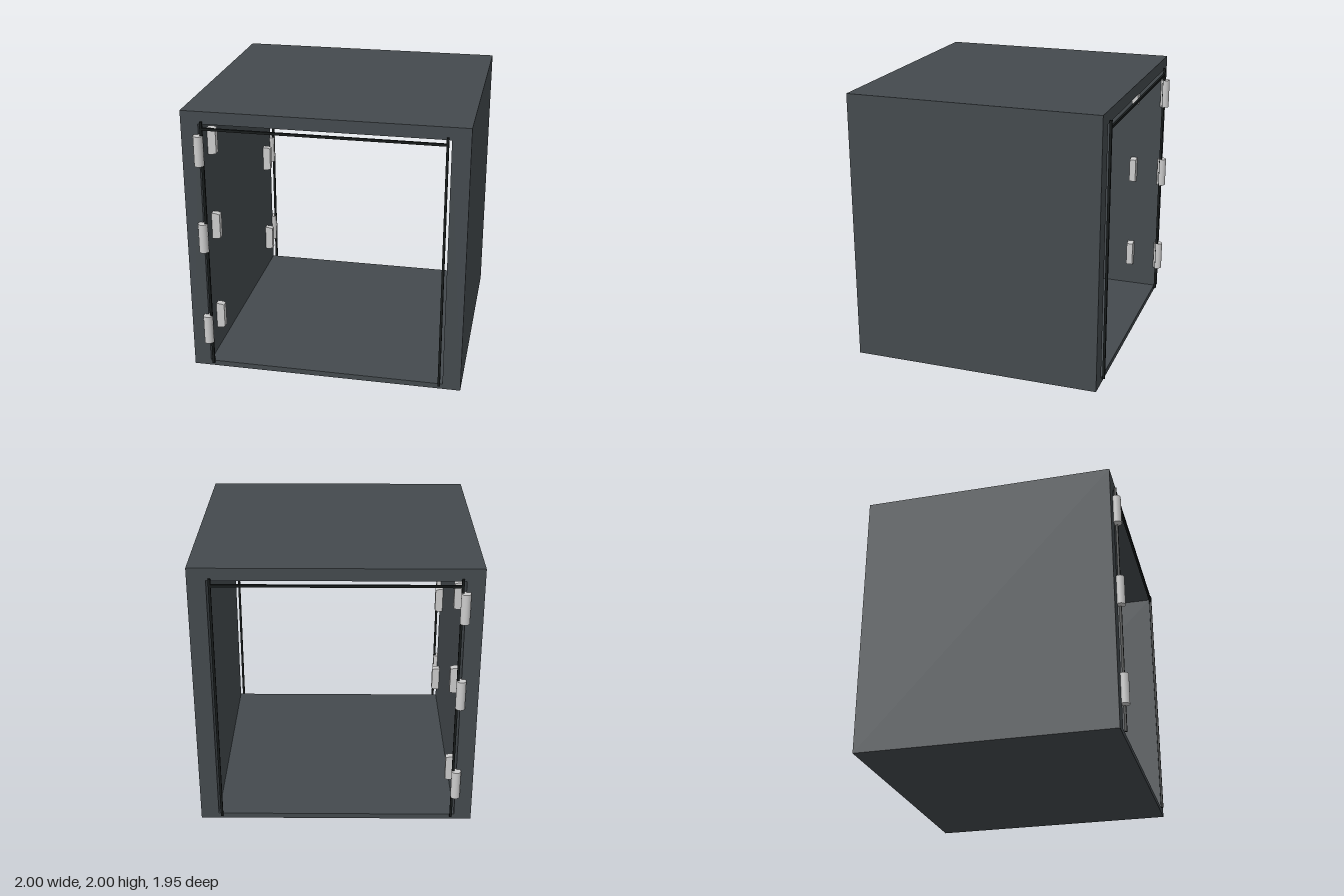
import * as THREE from 'three';

export function createModel() {
  const group = new THREE.Group();
  group.name = 'openCabinet';
  const shellMat = new THREE.MeshStandardMaterial({ color: 0x444a4e });
  const sealMat = new THREE.MeshStandardMaterial({ color: 0x161a1a });
  const metalMat = new THREE.MeshStandardMaterial({ color: 0xcccccc });

  const add = (name, geometry, material, x, y, z) => {
    const mesh = new THREE.Mesh(geometry, material);
    mesh.name = name;
    mesh.position.set(x, y, z);
    group.add(mesh);
  };

  // Tunnel-shaped shell, open at front and back
  const outline = new THREE.Shape([[-1, 0], [1, 0], [1, 2], [-1, 2]].map(p => new THREE.Vector2(...p)));
  outline.holes.push(new THREE.Path(
    [[-0.875, 0.04], [-0.875, 1.91], [0.87, 1.91], [0.87, 0.04]].map(p => new THREE.Vector2(...p))));
  const shell = new THREE.ExtrudeGeometry(outline, { depth: 1.84, bevelEnabled: false });
  add('shell', shell, shellMat, 0, 0, -0.92);

  // Hinge block with its inner corners chamfered
  const blockShape = new THREE.Shape(
    [[0, -0.1], [0.035, -0.1], [0.062, -0.092], [0.062, 0.092], [0.035, 0.1], [0, 0.1]]
      .map(p => new THREE.Vector2(...p)));
  const block = new THREE.ExtrudeGeometry(blockShape, { depth: 0.05, bevelEnabled: false });
  block.translate(0, 0, -0.025);

  const barrel = new THREE.CylinderGeometry(0.034, 0.034, 0.22, 24);
  const sealPost = new THREE.BoxGeometry(0.017, 1.9, 0.017);
  const sealBar = new THREE.BoxGeometry(1.7, 0.017, 0.017);

  for (const side of [1, -1]) {
    // Seal strips just outside each opening
    for (const x of [-0.849, 0.845]) add('sealPost', sealPost, sealMat, x, 0.98, side * 0.934);
    add('sealBar', sealBar, sealMat, 0, 1.88, side * 0.934);

    // Hinge barrels on the edge, blocks on the inner wall
    for (const y of [0.322, 1.063, 1.722]) {
      add('hingeBarrel', barrel, metalMat, -0.873, y, side * 0.94);
      add('hingeBlock', block, metalMat, -0.877, y, side * 0.71);
    }
  }
  return group;
}
